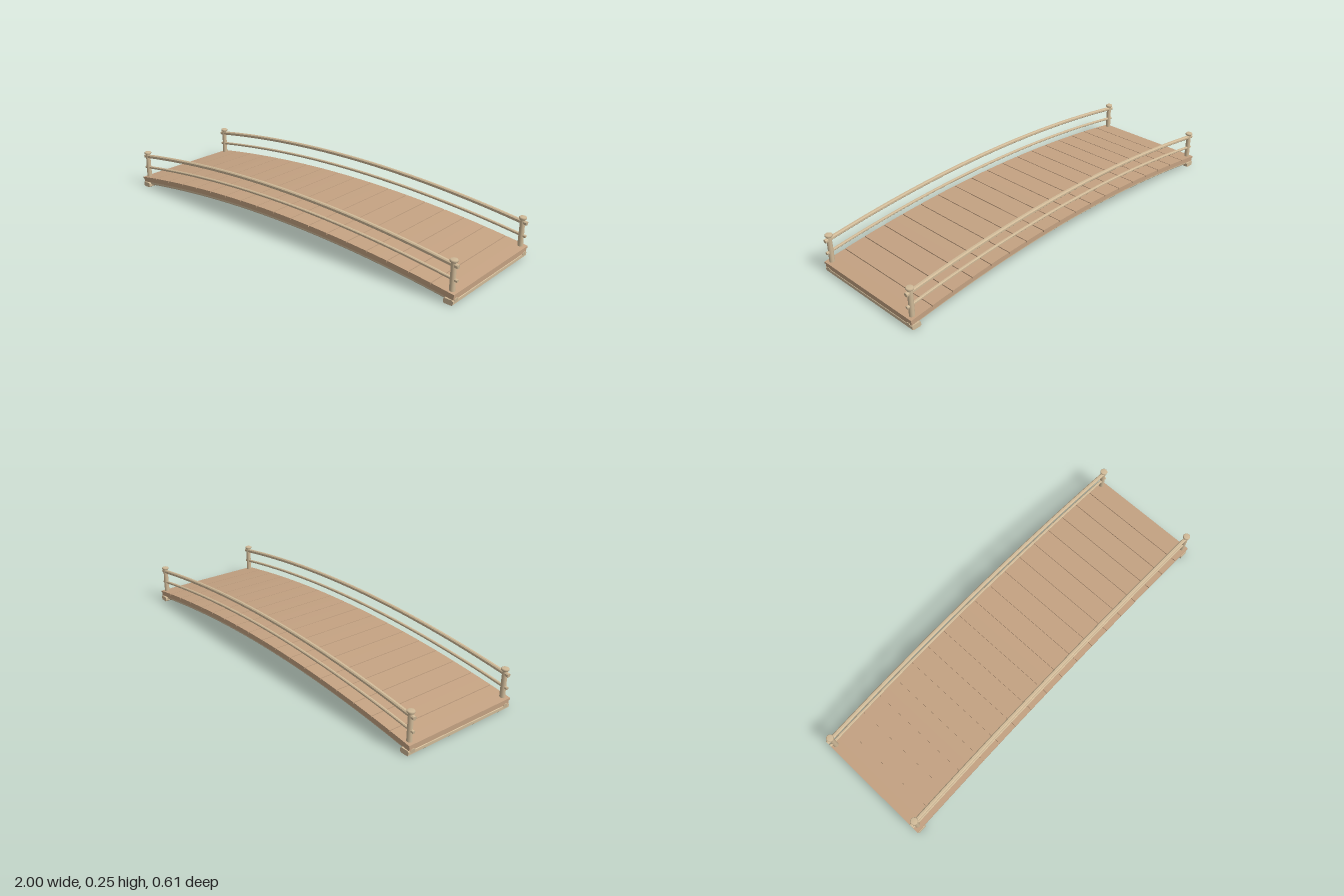
import * as THREE from 'three';

const RISE = 0.075;
const arch = (x, mid) => mid - RISE * x * x;

const plankWood = new THREE.MeshStandardMaterial({ color: 0xc4a282 });
const railWood = new THREE.MeshStandardMaterial({ color: 0xd0ba98 });

function add(group, name, geometry, material, x = 0, y = 0, z = 0) {
  const mesh = new THREE.Mesh(geometry, material);
  mesh.name = name;
  mesh.position.set(x, y, z);
  group.add(mesh);
  return mesh;
}

// Square section with cut corners
function beamSection(w, h, cut) {
  const a = w / 2, b = h / 2;
  return new THREE.Shape([
    [a, cut - b], [a, b - cut], [a - cut, b], [cut - a, b],
    [-a, b - cut], [-a, cut - b], [cut - a, -b], [a - cut, -b],
  ].map(([x, y]) => new THREE.Vector2(x, y)));
}

// Arched bar running the whole length, closed at both ends
function archedBar(mid, size) {
  const points = [];
  for (let i = 0; i <= 16; i++) {
    const x = -0.998 + (1.996 * i) / 16;
    points.push(new THREE.Vector3(x, arch(x, mid), 0));
  }
  return new THREE.ExtrudeGeometry(beamSection(size, size, size * 0.25), {
    steps: 32, extrudePath: new THREE.CatmullRomCurve3(points),
  });
}

// Slice of the arched deck between x0 and x1, extruded across the width
function deckSlice(x0, x1, top, bottom, halfWidth, n) {
  const points = [];
  for (let i = 0; i <= n; i++) {
    const x = x0 + ((x1 - x0) * i) / n;
    points.push(new THREE.Vector2(x, arch(x, bottom)));
  }
  for (let i = n; i >= 0; i--) {
    const x = x0 + ((x1 - x0) * i) / n;
    points.push(new THREE.Vector2(x, arch(x, top)));
  }
  const g = new THREE.ExtrudeGeometry(new THREE.Shape(points), {
    depth: halfWidth * 2, bevelEnabled: false,
  });
  return g.translate(0, 0, -halfWidth);
}

export function createModel() {
  const model = new THREE.Group();
  model.name = 'archedFootbridge';

  // Deck: a continuous slab with planks on top
  add(model, 'deckSlab', deckSlice(-0.997, 0.997, 0.121, 0.098, 0.299, 36), plankWood);
  const planks = new THREE.Group();
  planks.name = 'planks';
  model.add(planks);
  const count = 18, pitch = 2 / count, gap = 0.002;
  for (let i = 0; i < count; i++) {
    const x0 = -1 + i * pitch + (i ? gap : 0);
    const x1 = -1 + (i + 1) * pitch - (i < count - 1 ? gap : 0);
    add(planks, 'plank', deckSlice(x0, x1, 0.126, 0.117, 0.303, 2), plankWood);
  }

  // Cross beams under both ends
  for (const sx of [-1, 1]) {
    const beam = new THREE.ExtrudeGeometry(beamSection(0.046, 0.024, 0.005), {
      depth: 0.606, bevelEnabled: false,
    }).translate(0, 0, -0.303);
    add(model, 'crossBeam', beam, railWood, sx * 0.974, 0.012, 0);
  }

  // Stringers, rails and posts along both sides
  for (const sz of [-1, 1]) {
    const side = new THREE.Group();
    side.name = sz > 0 ? 'frontSide' : 'backSide';
    side.position.z = sz * 0.279;
    model.add(side);
    add(side, 'stringer', archedBar(0.092, 0.024), railWood);
    add(side, 'lowerRail', archedBar(0.178, 0.013), railWood);
    add(side, 'handrail', archedBar(0.241, 0.018), railWood);
    for (const sx of [-1, 1]) {
      const x = sx * 0.975;
      add(side, 'post', new THREE.CylinderGeometry(0.0115, 0.013, 0.15, 12), railWood, x, 0.11, 0);
      // Cap with softened rims
      const profile = [[0, 0.183], [0.015, 0.183], [0.018, 0.186], [0.018, 0.192], [0.015, 0.195], [0, 0.195]]
        .map(([r, y]) => new THREE.Vector2(r, y));
      add(side, 'postCap', new THREE.LatheGeometry(profile, 12), railWood, x, 0, 0);
    }
  }
  return model;
}
